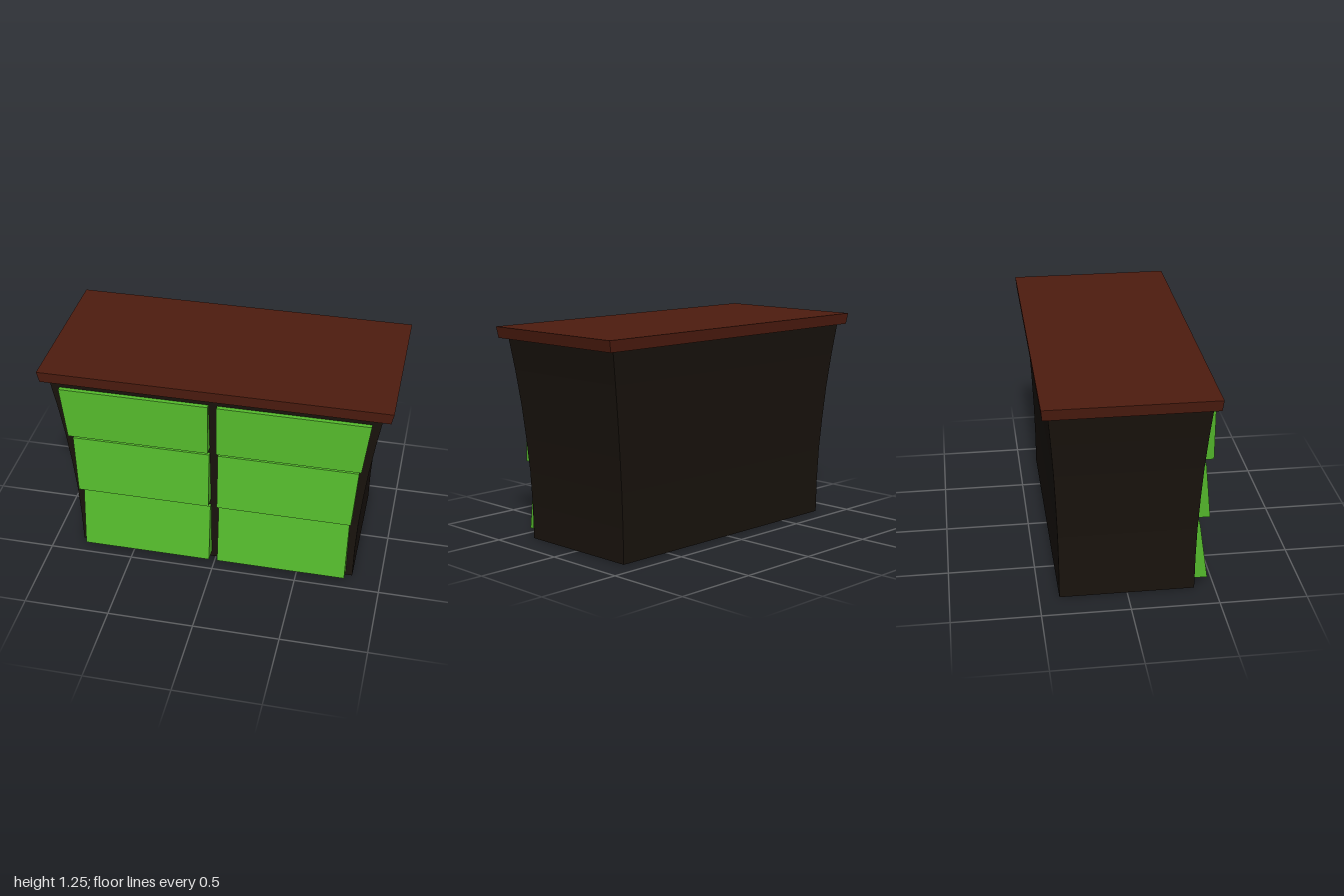
import * as THREE from 'three';

// Closed solid from stacked rectangles: each level is [y, xMin, xMax, zMin, zMax]
function loft(levels) {
  const pos = [];
  const ring = ([y, x0, x1, z0, z1]) => [[x0, y, z1], [x1, y, z1], [x1, y, z0], [x0, y, z0]];
  const quad = (a, b, c, d) => pos.push(...a, ...b, ...c, ...a, ...c, ...d);
  const rings = levels.map(ring);
  for (let i = 0; i < rings.length - 1; i++) {
    for (let k = 0; k < 4; k++) {
      const n = (k + 1) % 4;
      quad(rings[i][k], rings[i][n], rings[i + 1][n], rings[i + 1][k]);
    }
  }
  const b = rings[0], t = rings[rings.length - 1];
  quad(b[3], b[2], b[1], b[0]);
  quad(t[0], t[1], t[2], t[3]);
  const geo = new THREE.BufferGeometry();
  geo.setAttribute('position', new THREE.Float32BufferAttribute(pos, 3));
  geo.computeVertexNormals();
  return geo;
}

export function createModel() {
  const group = new THREE.Group();
  const mat = (color) => new THREE.MeshStandardMaterial({ color, flatShading: true });
  const dark = mat(0x19130d), wood = mat(0x4e1c0f), green = mat(0x55bb2c);

  const add = (name, levels, material, parent = group) => {
    const mesh = new THREE.Mesh(loft(levels), material);
    mesh.name = name;
    parent.add(mesh);
  };

  // Cabinet body, flaring outward towards the top
  const sections = [
    [0, 0.83, 0.385], [0.2, 0.834, 0.386], [0.4, 0.844, 0.39], [0.6, 0.862, 0.398],
    [0.8, 0.884, 0.408], [1.0, 0.912, 0.422], [1.19, 0.943, 0.438],
  ];
  add('cabinetBody', sections.map(([y, x, z]) => [y, -x, x, -z, z]), dark);

  // Overhanging top with slanted edges
  add('topBoard', [[1.185, -0.987, 0.987, -0.47, 0.47], [1.25, -1, 1, -0.476, 0.476]], wood);

  // Three rows of drawers: [y, outer x, front z] at the bottom and top edges
  const rows = [
    { name: 'lowerDrawer', edges: [[0.04, 0.79, 0.466], [0.405, 0.796, 0.413]] },
    { name: 'middleDrawer', edges: [[0.447, 0.808, 0.466], [0.793, 0.832, 0.43]] },
    { name: 'upperDrawer', edges: [[0.83, 0.847, 0.467], [1.14, 0.885, 0.46]] },
  ];
  const drawers = new THREE.Group();
  drawers.name = 'drawers';
  group.add(drawers);
  for (const { name, edges } of rows) {
    add(name + 'Left', edges.map(([y, x, z]) => [y, 0.025, x, 0.375, z]), green, drawers);
    add(name + 'Right', edges.map(([y, x, z]) => [y, -x, -0.025, 0.375, z]), green, drawers);
  }
  return group;
}
